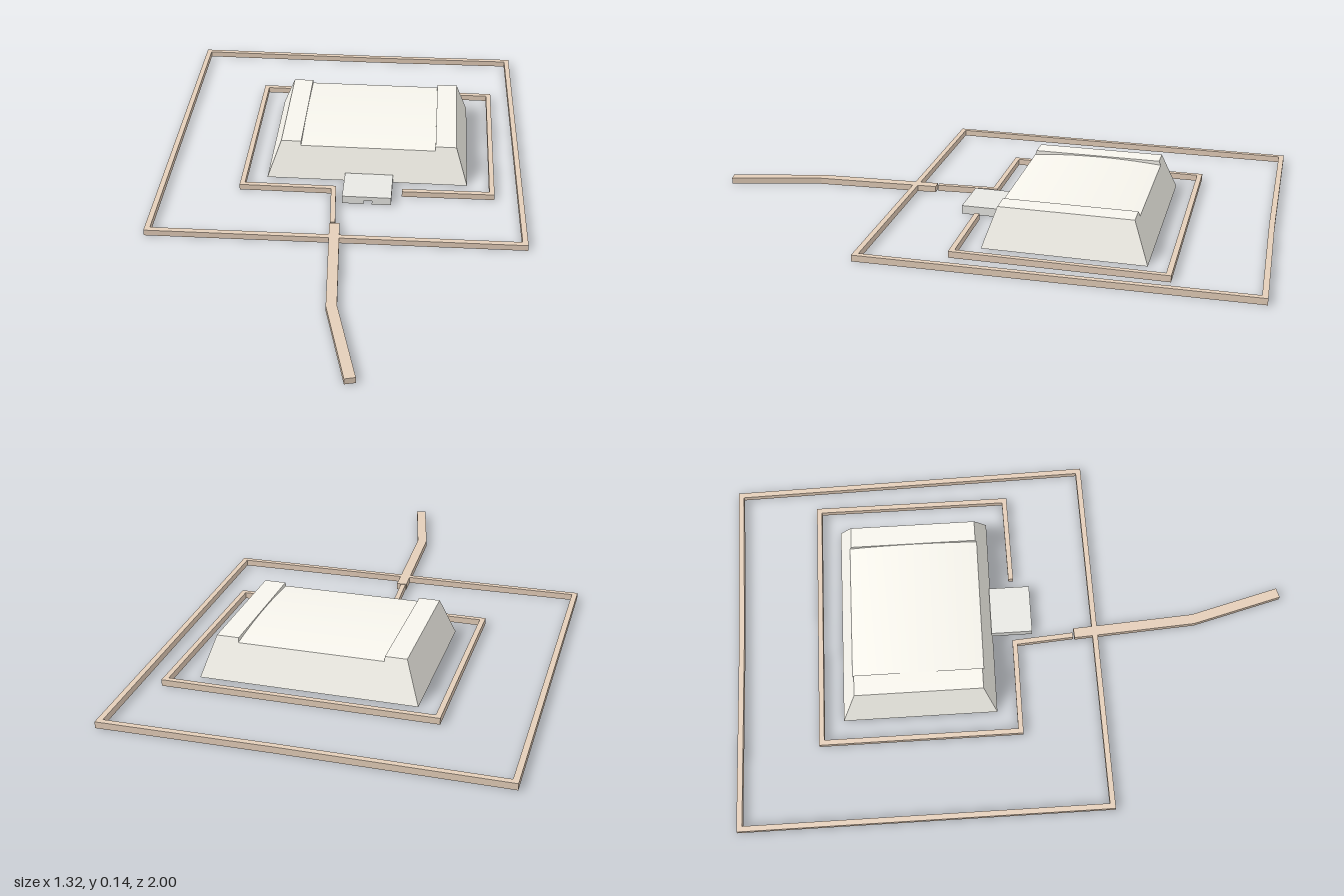
import * as THREE from 'three';

const material = (color) =>
  new THREE.MeshStandardMaterial({ color, flatShading: true, side: THREE.DoubleSide });
const stone = material(0xf7f5ed);
const earth = material(0xe4ceb9);
const slab = material(0xe8e8e4);

const WALL_HEIGHT = 0.022;
const H = 0.135; // full mound height
const EDGE = 0.12; // height of the sunken roof at its eaves

function named(name, geo, mat) {
  const mesh = new THREE.Mesh(geo, mat);
  mesh.name = name;
  return mesh;
}

// Removes the triangles whose corners all lie on one plane across an axis (0 x, 1 y, 2 z).
function removeFace(geo, axis, value) {
  const flat = geo.index ? geo.toNonIndexed() : geo;
  const src = flat.attributes.position.array;
  const kept = [];
  for (let i = 0; i < src.length; i += 9) {
    const onPlane = [0, 3, 6].every((k) => Math.abs(src[i + k + axis] - value) < 1e-5);
    if (!onPlane) kept.push(...src.subarray(i, i + 9));
  }
  const out = new THREE.BufferGeometry();
  out.setAttribute('position', new THREE.Float32BufferAttribute(kept, 3));
  out.computeVertexNormals();
  return out;
}

// Offsets a polyline of [x, z] points sideways, with mitred corners.
function offsetLine(pts, d, closed) {
  const n = pts.length;
  const v = pts.map(([x, z]) => new THREE.Vector2(x, -z));
  const normal = (a, b) => {
    const t = b.clone().sub(a).normalize();
    return new THREE.Vector2(-t.y, t.x);
  };
  return v.map((p, i) => {
    const next = closed || i < n - 1 ? normal(p, v[(i + 1) % n]) : null;
    const prev = closed || i > 0 ? normal(v[(i + n - 1) % n], p) : next;
    const m = prev.clone().add(next || prev).normalize();
    return p.clone().addScaledVector(m, d / m.dot(prev));
  });
}

// Low wall of constant width following a ground path; closed paths run clockwise from above.
function wall(name, pts, width, closed = false) {
  const outer = offsetLine(pts, width / 2, closed);
  const inner = offsetLine(pts, -width / 2, closed).reverse();
  const shape = new THREE.Shape(closed ? outer : [...outer, ...inner]);
  if (closed) shape.holes.push(new THREE.Path(inner));
  const geo = new THREE.ExtrudeGeometry(shape, { depth: WALL_HEIGHT, bevelEnabled: false });
  geo.rotateX(-Math.PI / 2);
  return named(name, removeFace(geo, 1, 0), earth);
}

// Block whose bottom and top rectangles are [x0, x1, z0, z1].
function taperedBlock(bottom, top, y0, y1) {
  const geo = new THREE.BoxGeometry(1, 1, 1);
  const p = geo.attributes.position;
  for (let i = 0; i < p.count; i++) {
    const up = p.getY(i) > 0;
    const r = up ? top : bottom;
    p.setXYZ(i, r[p.getX(i) > 0 ? 1 : 0], up ? y1 : y0, r[p.getZ(i) > 0 ? 3 : 2]);
  }
  geo.computeVertexNormals();
  return geo;
}

function createMound() {
  const mound = new THREE.Group();
  mound.name = 'mound';
  const base = [-0.28, 0.456, -0.615, -0.066];
  const top = [-0.23, 0.411, -0.562, -0.11];
  const at = (y) => base.map((b, i) => THREE.MathUtils.lerp(b, top[i], y / H));
  const eaves = at(EDGE);
  const inner = [-0.157, 0.335];

  // Sloping sides with a floor set a little above the rim
  mound.add(named('moundBody', removeFace(taperedBlock(base, eaves, 0, EDGE), 1, 0), stone));
  const [x0, x1, z0, z1] = at(0.02);
  const floor = new THREE.PlaneGeometry(x1 - x0, z1 - z0);
  floor.rotateX(Math.PI / 2).translate((x0 + x1) / 2, 0.02, (z0 + z1) / 2);
  mound.add(named('moundFloor', floor, stone));

  // Raised end blocks either side of the roof
  mound.add(named('rightEndBlock', taperedBlock(
    [eaves[0], inner[0], eaves[2], eaves[3]], [top[0], inner[0], top[2], top[3]], EDGE, H), stone));
  mound.add(named('leftEndBlock', taperedBlock(
    [inner[1], eaves[1], eaves[2], eaves[3]], [inner[1], top[1], top[2], top[3]], EDGE, H), stone));

  // Gently arched roof between the end blocks
  const segments = 16;
  const arch = [];
  for (let i = 0; i <= segments; i++) {
    const t = i / segments;
    const z = THREE.MathUtils.lerp(eaves[2], eaves[3], t);
    arch.push(new THREE.Vector2(-z, EDGE + 0.011 * (1 - (2 * t - 1) ** 2)));
  }
  const roof = new THREE.ExtrudeGeometry(new THREE.Shape(arch),
    { depth: inner[1] - inner[0], bevelEnabled: false });
  roof.rotateY(Math.PI / 2).translate(inner[0], 0, 0);
  mound.add(named('archedRoof', roof, stone));
  return mound;
}

// Hollow platform with a small opening in its front wall
function createPlatform() {
  const platform = new THREE.Group();
  platform.name = 'platform';
  const x0 = 0.008, x1 = 0.184, z0 = -0.07, z1 = 0.078, h = 0.03;
  const rect = [x0, x1, z0, z1];
  const shell = removeFace(removeFace(taperedBlock(rect, rect, 0, h), 1, 0), 2, z1);
  platform.add(named('platformShell', shell, slab));

  const front = new THREE.Shape([
    [x0, 0], [0.085, 0], [0.085, 0.014], [0.115, 0.014], [0.115, 0], [x1, 0], [x1, h], [x0, h],
  ].map(([x, y]) => new THREE.Vector2(x, y)));
  platform.add(named('platformFront', new THREE.ShapeGeometry(front).translate(0, 0, z1), slab));
  return platform;
}

export function createModel() {
  const model = new THREE.Group();
  model.name = 'walledMound';
  model.add(createMound(), createPlatform());

  // Enclosures
  model.add(wall('outerWall', [
    [-0.65, -0.979], [0.06, -0.979], [0.627, -0.988], [0.651, 0.298], [-0.65, 0.314],
  ], 0.019, true));
  model.add(wall('innerWall', [
    [-0.013, 0.225], [-0.028, 0.013], [-0.361, 0.013], [-0.361, -0.692],
    [0.544, -0.692], [0.544, 0.008], [0.22, 0.013],
  ], 0.018));

  // Approach way leading to the front
  model.add(wall('causeway', [[-0.006, 0.23], [-0.002, 0.3], [0.021, 0.67], [0.104, 0.994]], 0.036));

  return model;
}
